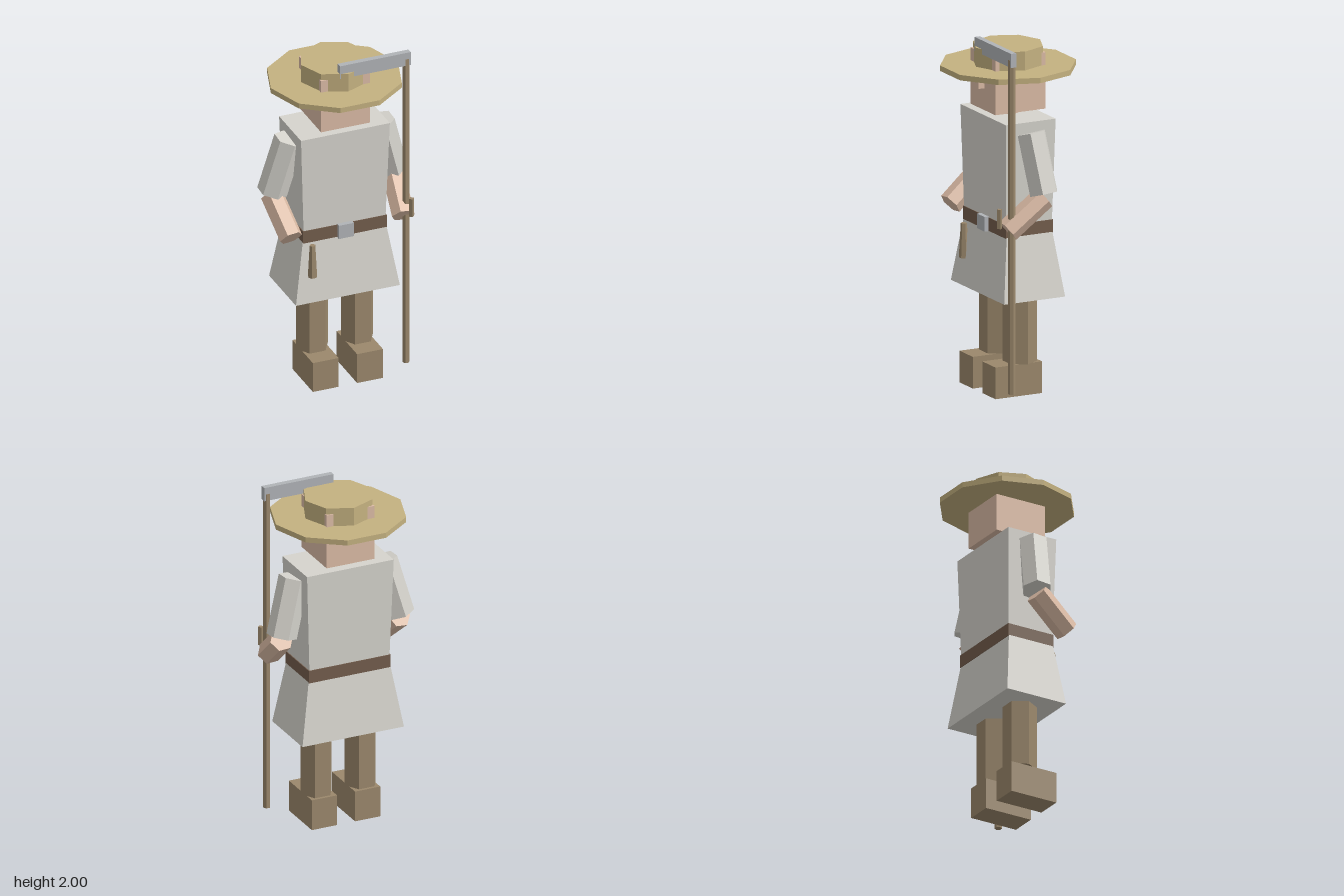
import * as THREE from 'three';

const mat = (name, color) => {
  const m = new THREE.MeshStandardMaterial({ color, flatShading: true });
  m.name = name;
  return m;
};

export function createModel() {
  const model = new THREE.Group();
  model.name = 'farmer';

  const linen = mat('linen', 0xd6d4cd);
  const skin = mat('skin', 0xdbbba5);
  const straw = mat('straw', 0xc4b180);
  const brown = mat('brown', 0x9b886c);
  const leather = mat('leather', 0x735d4c);
  const metal = mat('metal', 0xb0b3b7);

  const add = (name, geometry, material, x = 0, y = 0, z = 0) => {
    const mesh = new THREE.Mesh(geometry, material);
    mesh.name = name;
    mesh.position.set(x, y, z);
    model.add(mesh);
    return mesh;
  };

  // Box given by its extents
  const box = (name, material, x0, x1, y0, y1, z0, z1) =>
    add(name, new THREE.BoxGeometry(x1 - x0, y1 - y0, z1 - z0), material,
      (x0 + x1) / 2, (y0 + y1) / 2, (z0 + z1) / 2);

  // Box with different half widths and half depths at bottom and top
  const taperedBox = (name, material, y0, y1, [bx, bz], [tx, tz]) => {
    const g = new THREE.BoxGeometry(2, y1 - y0, 2);
    const p = g.attributes.position;
    for (let i = 0; i < p.count; i++) {
      const top = p.getY(i) > 0;
      p.setX(i, p.getX(i) * (top ? tx : bx));
      p.setZ(i, p.getZ(i) * (top ? tz : bz));
    }
    g.computeVertexNormals();
    return add(name, g, material, 0, (y0 + y1) / 2, 0);
  };

  // Upright prism; turn rotates its corners about y
  const prism = (name, material, rTop, rBottom, sides, turn, x, y0, y1, z) =>
    add(name, new THREE.CylinderGeometry(rTop, rBottom, y1 - y0, sides, 1, false, turn),
      material, x, (y0 + y1) / 2, z);

  // Hexagonal limb segment between two points
  const limb = (name, material, low, high, r, turn) => {
    const a = new THREE.Vector3(...low), b = new THREE.Vector3(...high);
    const dir = b.clone().sub(a);
    const mesh = add(name, new THREE.CylinderGeometry(r, r, dir.length(), 6, 1, false, turn), material);
    mesh.position.copy(a).add(b).multiplyScalar(0.5);
    mesh.quaternion.setFromUnitVectors(new THREE.Vector3(0, 1, 0), dir.normalize());
  };

  // Tunic and belt
  taperedBox('tunicTop', linen, 0.99, 1.565, [0.245, 0.143], [0.265, 0.155]);
  taperedBox('tunicSkirt', linen, 0.56, 0.92, [0.31, 0.19], [0.25, 0.143]);
  box('belt', leather, -0.25, 0.25, 0.915, 0.99, -0.147, 0.147);
  box('buckle', metal, -0.045, 0.045, 0.912, 0.995, 0.14, 0.17);
  prism('beltTool', brown, 0.017, 0.028, 6, Math.PI / 6, -0.202, 0.71, 0.905, 0.167);

  // Neck and head
  prism('neck', skin, 0.07, 0.07, 6, Math.PI / 6, 0, 1.55, 1.61, 0);
  box('head', skin, -0.146, 0.146, 1.595, 1.915, -0.157, 0.157);
  box('nose', skin, -0.02, 0.02, 1.72, 1.8, 0.15, 0.195);

  // Straw hat
  prism('hatBrim', straw, 0.38, 0.38, 10, Math.PI / 10, 0, 1.812, 1.843, 0);
  prism('hatCrown', straw, 0.2, 0.2, 8, 0, 0, 1.84, 1.95, 0);

  // Arms and legs on both sides
  for (const [side, s] of [['left', 1], ['right', -1]]) {
    limb(side + 'Sleeve', linen, [s * 0.36, 1.175, -0.03], [s * 0.27, 1.505, 0], 0.085, 0);
    limb(side + 'Forearm', skin, [s * 0.335, 0.985, 0.18], [s * 0.36, 1.155, -0.03], 0.067, Math.PI / 6);
    prism(side + 'Leg', brown, 0.095, 0.095, 6, Math.PI / 6, s * 0.135, 0.18, 0.58, 0);
    box(side + 'Boot', brown, s * 0.132 - 0.077, s * 0.132 + 0.077, 0, 0.18, -0.1, 0.19);
  }

  // Scythe
  prism('scythePole', brown, 0.021, 0.021, 6, Math.PI / 6, 0.356, 0.06, 1.96, 0.167);
  prism('scytheGrip', brown, 0.016, 0.016, 4, 0, 0.356, 1.01, 1.12, 0.245);
  box('scytheBlade', metal, -0.045, 0.378, 1.92, 2, 0.151, 0.184);

  return model;
}
